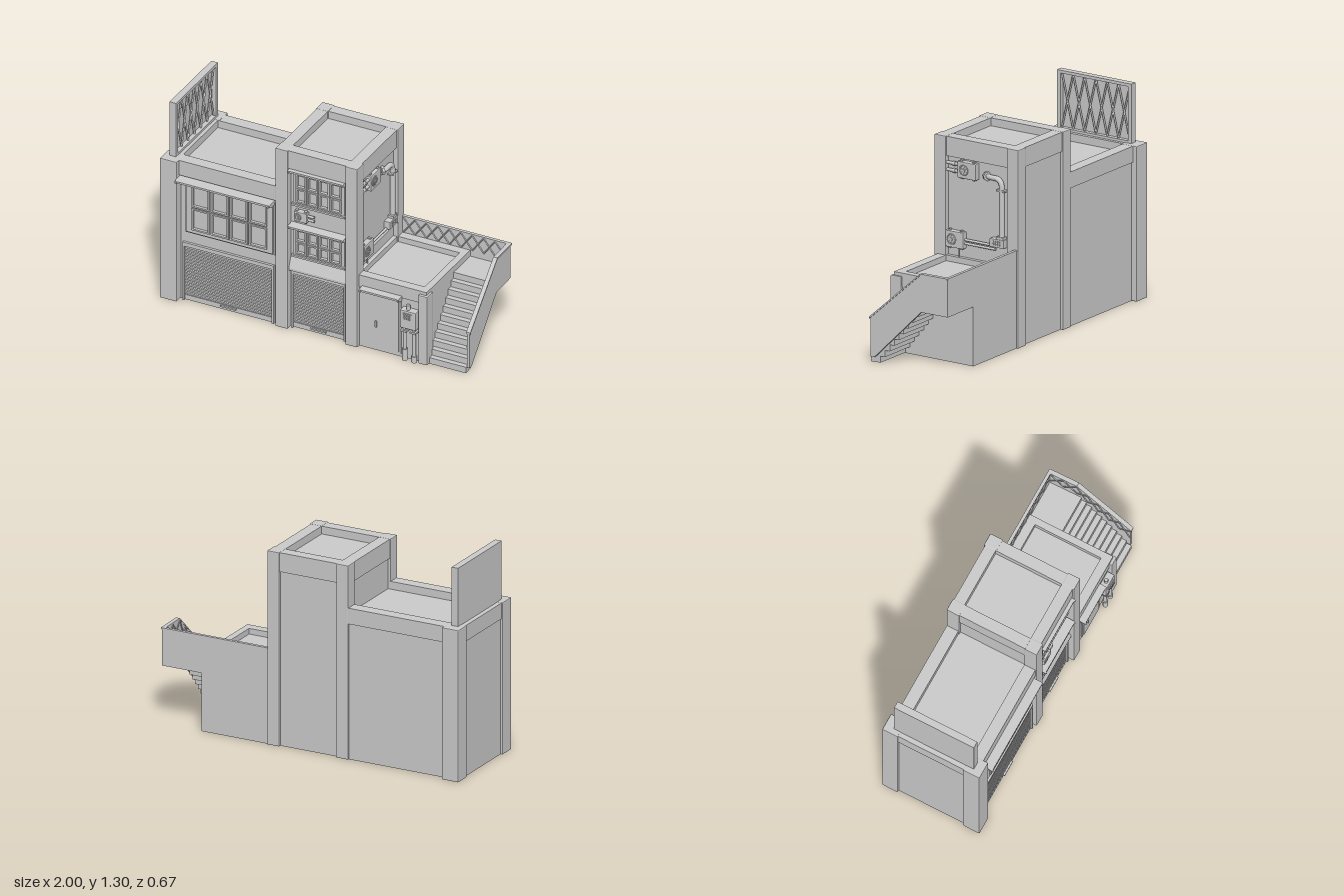
import * as THREE from 'three';
import { RoundedBoxGeometry } from 'three/addons/geometries/RoundedBoxGeometry.js';

const mat = new THREE.MeshStandardMaterial({ color: 0xcccccc, flatShading: true });
const smooth = new THREE.MeshStandardMaterial({ color: 0xcccccc });
const V = (x, y, z) => new THREE.Vector3(x, y, z);

export function createModel() {
  const root = new THREE.Group();
  root.name = 'building';

  function add(name, geo, m = mat) {
    const mesh = new THREE.Mesh(geo, m);
    mesh.name = name;
    root.add(mesh);
    return mesh;
  }
  // Box given by its extents
  function box(name, x0, x1, y0, y1, z0, z1, r = 0) {
    const s = [x1 - x0, y1 - y0, z1 - z0];
    const geo = r ? new RoundedBoxGeometry(...s, 1, r) : new THREE.BoxGeometry(...s);
    add(name, geo.translate((x0 + x1) / 2, (y0 + y1) / 2, (z0 + z1) / 2));
  }
  // Straight rod between two points
  function rod(name, a, b, r, sides = 10) {
    const d = b.clone().sub(a);
    const mesh = add(name, new THREE.CylinderGeometry(r, r, d.length(), sides), sides > 8 ? smooth : mat);
    mesh.position.copy(a).addScaledVector(d, 0.5);
    mesh.quaternion.setFromUnitVectors(V(0, 1, 0), d.normalize());
  }
  function rectPath(x0, x1, y0, y1, C = THREE.Path) {
    return new C([[x0, y0], [x1, y0], [x1, y1], [x0, y1]].map(p => new THREE.Vector2(...p)));
  }
  // Roof parapet: rectangle with a rectangular opening
  function parapet(name, o, i, y0, y1) {
    const s = rectPath(o[0], o[1], -o[3], -o[2], THREE.Shape);
    s.holes.push(rectPath(i[0], i[1], -i[3], -i[2]));
    add(name, new THREE.ExtrudeGeometry(s, { depth: y1 - y0, bevelEnabled: false }).rotateX(-Math.PI / 2).translate(0, y0, 0));
  }
  // [z, y] profile extruded along x
  function sideProfile(name, pts, x0, x1) {
    const s = new THREE.Shape(pts.map(p => new THREE.Vector2(...p)));
    return add(name, new THREE.ExtrudeGeometry(s, { depth: x1 - x0, bevelEnabled: false }).rotateY(-Math.PI / 2).translate(x1, 0, 0));
  }
  // Row of crossing braces; P(u, v) maps the unit square to the surface
  function lattice(name, P, n, r) {
    for (let i = 0; i < n; i++) {
      rod(name, P(i / n, 0), P((i + 1) / n, 1), r, 4);
      rod(name, P(i / n, 1), P((i + 1) / n, 0), r, 4);
    }
  }
  // Frame with cut-out panes, a rim round every pane
  function gridWindow(x0, x1, y0, y1, mx, my, gap, z) {
    const s = rectPath(x0, x1, y0, y1, THREE.Shape), cols = 4, rows = 2;
    const w = (x1 - x0 - 2 * mx + gap) / cols, h = (y1 - y0 - 2 * my + gap) / rows;
    for (let c = 0; c < cols; c++) for (let r = 0; r < rows; r++) {
      const a = x0 + mx + c * w, b = y0 + my + r * h, t = 0.007;
      s.holes.push(rectPath(a, a + w - gap, b, b + h - gap));
      const rim = rectPath(a - 0.003, a + w - gap + 0.003, b - 0.003, b + h - gap + 0.003, THREE.Shape);
      rim.holes.push(rectPath(a + t, a + w - gap - t, b + t, b + h - gap - t));
      add('paneRim', new THREE.ExtrudeGeometry(rim, { depth: 0.02, bevelEnabled: false }).translate(0, 0, z));
    }
    add('windowFrame', new THREE.ExtrudeGeometry(s, { depth: 0.012, bevelEnabled: false }).translate(0, 0, z));
  }
  // Thin flat canopy with tapered end brackets; y is its top
  function awning(x0, x1, y, z0, z1) {
    sideProfile('awning', [[z0, y - 0.014], [z1, y - 0.018], [z1, y - 0.006], [z0, y]], x0, x1);
    for (const x of [x0 + 0.003, x1 - 0.012])
      sideProfile('awningBracket', [[z0, y - 0.034], [z0 + (z1 - z0) * 0.5, y - 0.034], [z1 + 0.006, y - 0.018], [z1 + 0.006, y - 0.008], [z0, y - 0.004]], x, x + 0.009);
  }
  // Rolling shutter with overlapping slats
  function shutter(x0, x1, z) {
    box('shutterFrameLeft', x1, x1 + 0.012, 0, 0.39, z - 0.02, z + 0.016);
    box('shutterFrameRight', x0 - 0.012, x0, 0, 0.39, z - 0.02, z + 0.016);
    box('shutterLintel', x0 - 0.012, x1 + 0.012, 0.365, 0.39, z - 0.02, z + 0.016);
    const n = 17, y0 = 0.036, p = (0.365 - y0) / n;
    const pts = [[z - 0.012, y0]];
    for (let i = 0; i < n; i++) pts.push([z + 0.001, y0 + i * p], [z + 0.007, y0 + (i + 0.25) * p], [z + 0.007, y0 + (i + 0.75) * p], [z + 0.001, y0 + (i + 0.98) * p]);
    pts.push([z - 0.012, 0.365]);
    sideProfile('shutterSlats', pts, x0, x1);
    box('shutterBottomBar', x0, x1, 0.004, 0.036, z - 0.01, z + 0.007);
    const c = (x0 + x1) / 2;
    box('shutterHandle', c - 0.05, c + 0.05, 0.022, 0.032, z, z + 0.018);
  }
  // Fan unit facing +x, or +z when front is set
  function fanUnit(x, y, z, w, h, d, fan, front) {
    const g = new THREE.Group();
    g.name = 'airConditioner';
    const part = (name, geo, m = mat) => { const k = new THREE.Mesh(geo, m); k.name = name; g.add(k); };
    part('acCase', new RoundedBoxGeometry(w, h, d, 1, 0.005));
    part('acFanRing', new THREE.TorusGeometry(h * 0.3, 0.003, 6, 20).translate(fan, 0, d / 2), smooth);
    part('acFanHub', new THREE.CylinderGeometry(h * 0.1, h * 0.1, 0.01, 10).rotateX(Math.PI / 2).translate(fan, 0, d / 2));
    for (let i = -2; i <= 2; i++)
      part('acGrille', new THREE.BoxGeometry(2 * Math.sqrt(0.09 - (i * 0.1) ** 2) * h, 0.003, 0.005).translate(fan, i * 0.1 * h, d / 2));
    for (const s of [-1, 1]) part('acLug', new THREE.BoxGeometry(0.015, h + 0.014, d * 0.5).translate(s * w * 0.33, 0, 0));
    if (!front) g.rotation.y = Math.PI / 2;
    g.position.set(x, y, z);
    root.add(g);
  }

  // Left wing
  box('leftWingBody', -0.985, -0.2, 0, 0.89, -0.3, 0.25);
  parapet('leftWingParapet', [-0.994, -0.2, -0.31, 0.272], [-0.9, -0.235, -0.235, 0.2], 0.84, 0.938);
  box('leftFrontPillar', -1, -0.89, 0, 0.94, 0.195, 0.303, 0.005);
  box('leftBackPillar', -1, -0.89, 0, 0.94, -0.337, -0.235, 0.005);
  box('leftWindowPanel', -0.855, -0.27, 0.46, 0.825, 0.24, 0.258);
  gridWindow(-0.845, -0.28, 0.47, 0.815, 0.04, 0.026, 0.014, 0.256);
  awning(-0.89, -0.27, 0.834, 0.25, 0.328);
  shutter(-0.86, -0.287, 0.25);

  // Roof hoarding with braced frame
  box('hoardingPanel', -0.965, -0.95, 0.935, 1.3, -0.277, 0.248);
  for (const y of [0.935, 1.282]) box('hoardingRail', -0.96, -0.922, y, y + 0.018, -0.277, 0.248);
  for (const z of [-0.277, 0.224]) box('hoardingPost', -0.96, -0.922, 0.935, 1.3, z, z + 0.024);
  lattice('hoardingBrace', (u, v) => V(-0.94, 0.95 + v * 0.333, -0.255 + u * 0.48), 6, 0.006);

  // Tower
  box('towerBody', -0.24, 0.25, 0, 1.15, -0.293, 0.235);
  parapet('towerParapet', [-0.252, 0.272, -0.305, 0.27], [-0.18, 0.2, -0.235, 0.2], 1.08, 1.198);
  for (const x of [-0.257, 0.2]) {
    box('towerFrontPillar', x, x + 0.08, 0, 1.2, 0.2, 0.28, 0.005);
    box('towerBackPillar', x, x + 0.08, 0, 1.2, -0.313, -0.23, 0.005);
  }
  for (const [y0, y1] of [[0.495, 0.68], [0.84, 1.055]]) {
    gridWindow(-0.158, 0.178, y0, y1, 0.022, 0.014, 0.01, 0.234);
    box('windowSill', -0.165, 0.185, y0 - 0.012, y0, 0.225, 0.258);
    awning(-0.172, 0.192, y1 + 0.027, 0.23, 0.292);
  }
  shutter(-0.155, 0.175, 0.236);
  sideProfile('shutterHood', [[0.22, 0.388], [0.262, 0.388], [0.262, 0.402], [0.235, 0.475], [0.22, 0.475]], -0.18, 0.2);
  fanUnit(-0.1, 0.768, 0.25, 0.085, 0.065, 0.04, -0.015, true);
  for (const y of [0.755, 0.78]) rod('acPipe', V(-0.06, y, 0.252), V(-0.015, y, 0.252), 0.008);

  // Services on the tower side
  fanUnit(0.265, 1.015, 0.05, 0.13, 0.1, 0.04, -0.02);
  fanUnit(0.265, 0.585, 0.137, 0.125, 0.1, 0.04, -0.02);
  for (const y of [0.997, 1.04]) {
    rod('acPipe', V(0.264, y, 0.11), V(0.264, y, 0.205), 0.01);
    rod('acPipeCollar', V(0.264, y, 0.14), V(0.264, y, 0.155), 0.014);
  }
  for (const y of [0.568, 0.59]) rod('conduit', V(0.262, y, 0.08), V(0.262, y, -0.14), 0.008);
  rod('drainPipe', V(0.262, 0.48, 0.118), V(0.262, 0.54, 0.118), 0.004);
  const duct = new THREE.CurvePath();
  duct.add(new THREE.QuadraticBezierCurve3(V(0.245, 1, -0.075), V(0.267, 1, -0.085), V(0.267, 1, -0.12)));
  duct.add(new THREE.LineCurve3(V(0.267, 1, -0.12), V(0.267, 1, -0.14)));
  duct.add(new THREE.QuadraticBezierCurve3(V(0.267, 1, -0.14), V(0.267, 1, -0.188), V(0.267, 0.945, -0.188)));
  duct.add(new THREE.LineCurve3(V(0.267, 0.945, -0.188), V(0.267, 0.64, -0.188)));
  add('duct', new THREE.TubeGeometry(duct, 48, 0.016, 12), smooth);
  rod('ductFlange', V(0.25, 1, -0.072), V(0.26, 1, -0.086), 0.028, 8);
  box('ductClamp', 0.245, 0.284, 0.928, 0.938, -0.218, -0.158);
  box('junctionBox', 0.245, 0.289, 0.588, 0.638, -0.215, -0.115, 0.004);
  box('junctionBoxLid', 0.245, 0.286, 0.638, 0.654, -0.208, -0.16);
  for (let i = 0; i < 4; i++) for (const y of [0.602, 0.618])
    box('junctionVent', 0.285, 0.292, y, y + 0.01, -0.19 + i * 0.014, -0.18 + i * 0.014);

  // Low right wing
  box('rightWingBody', 0.24, 0.72, 0, 0.445, -0.3, 0.25);
  parapet('rightWingParapet', [0.24, 0.722, -0.3, 0.257], [0.275, 0.68, -0.235, 0.2], 0.4, 0.48);
  box('rightPillar', 0.675, 0.735, 0, 0.46, 0.2, 0.275, 0.006);
  box('doorFrame', 0.345, 0.555, 0.02, 0.385, 0.24, 0.256);
  box('door', 0.358, 0.542, 0.035, 0.375, 0.24, 0.262);
  box('doorHandle', 0.39, 0.4, 0.165, 0.205, 0.26, 0.272);
  awning(0.3, 0.56, 0.414, 0.245, 0.3);

  // Meter box with pipes
  box('meterBox', 0.565, 0.67, 0.225, 0.345, 0.245, 0.296, 0.006);
  box('meterWindow', 0.588, 0.645, 0.285, 0.33, 0.29, 0.302);
  for (let i = 0; i < 4; i++) for (const y of [0.292, 0.31])
    box('meterCell', 0.593 + i * 0.012, 0.602 + i * 0.012, y, y + 0.012, 0.3, 0.308);
  rod('meterCap', V(0.61, 0.34, 0.272), V(0.61, 0.375, 0.272), 0.012);
  for (const [x, top] of [[0.59, 0.08], [0.65, 0.045]]) {
    rod('meterPipe', V(x, 0, 0.277), V(x, 0.23, 0.277), 0.011);
    rod('meterPipeSleeve', V(x, 0.005, 0.277), V(x, top, 0.277), 0.017);
    box('meterPipeClamp', x - 0.02, x + 0.02, 0.2, 0.212, 0.245, 0.296);
  }

  // Outside stair, treads stacked into a flight
  const steps = 11, run = 0.36 / steps, rise = 0.04;
  for (let i = 0; i < steps; i++) {
    const top = (i + 1) * rise, z = 0.245 - i * run;
    box('stairStep', 0.715, 0.972, Math.max(0, top - 0.078), top, z - run, z);
  }
  box('stairLanding', 0.715, 0.968, 0.36, 0.44, -0.295, -0.11);

  // Stair wall, splayed slightly outwards towards the front
  const splay = 0.022, shear = new THREE.Matrix4().makeShear(0, 0, 0, 0, splay, 0);
  sideProfile('stairWall', [[0.237, 0.035], [0.237, 0.27], [-0.113, 0.585], [-0.3, 0.585], [-0.3, 0.36], [-0.115, 0.36], [0.21, 0.035]], 0.97, 0.988)
    .geometry.applyMatrix4(shear);
  sideProfile('stairHandrail', [[0.242, 0.265], [0.242, 0.277], [-0.113, 0.594], [-0.302, 0.594], [-0.302, 0.584], [-0.112, 0.584]], 0.968, 0.9947)
    .geometry.applyMatrix4(shear);
  lattice('landingBrace', (u, v) => V(0.968 + splay * (-0.285 + u * 0.17), 0.482 + v * 0.1, -0.285 + u * 0.17), 2, 0.004);
  lattice('stairBrace', (u, v) => V(0.968 + splay * (-0.113 + u * 0.345), 0.48 - u * 0.315 + v * 0.1, -0.113 + u * 0.345), 5, 0.004);

  // Rear guard wall with thin cap and braced inner face
  box('rearGuardWall', 0.27, 0.978, 0.36, 0.585, -0.302, -0.29);
  box('rearGuardCap', 0.27, 0.982, 0.584, 0.594, -0.304, -0.284);
  lattice('rearGuardBrace', (u, v) => V(0.285 + u * 0.675, 0.482 + v * 0.1, -0.29), 9, 0.004);

  return root;
}
